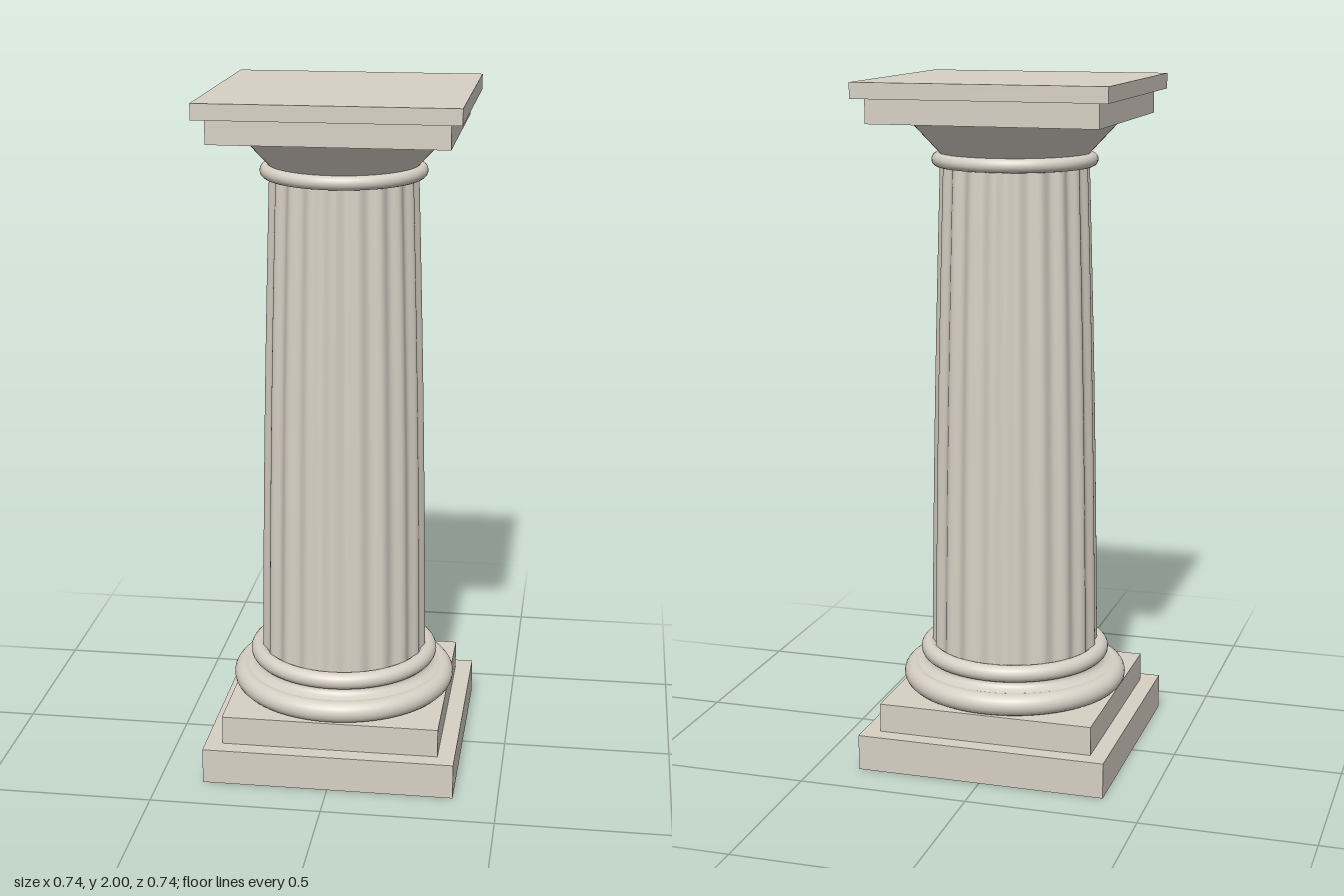
import * as THREE from 'three';

export function createModel() {
  const column = new THREE.Group();
  column.name = 'column';
  const stone = new THREE.MeshStandardMaterial({ color: 0xd6cfc4 });
  stone.name = 'pale stone';

  const add = (name, geometry, y = 0) => {
    const mesh = new THREE.Mesh(geometry, stone);
    mesh.name = name;
    mesh.position.y = y;
    column.add(mesh);
    return mesh;
  };

  // Square slab between two heights
  const slab = (name, half, y0, y1) =>
    add(name, new THREE.BoxGeometry(half * 2, y1 - y0, half * 2), (y0 + y1) / 2);

  // Round moulding given by its outer radius and height range
  const ring = (name, outer, y0, y1) => {
    const tube = (y1 - y0) / 2;
    const g = new THREE.TorusGeometry(outer - tube, tube, 20, 80);
    g.rotateX(Math.PI / 2);
    add(name, g, (y0 + y1) / 2);
  };

  // Turned piece from a list of [radius, height]
  const turned = (name, points) =>
    add(name, new THREE.LatheGeometry(points.map(([r, y]) => new THREE.Vector2(r, y)), 80));

  // Base: two square steps, two rings and a concave neck between them
  slab('lowerPlinth', 0.37, 0, 0.105);
  slab('upperPlinth', 0.32, 0.105, 0.19);
  ring('lowerBaseRing', 0.335, 0.19, 0.255);
  turned('baseNeck', [[0.302, 0.252], [0.28, 0.257], [0.269, 0.265], [0.265, 0.275], [0.267, 0.285]]);
  ring('upperBaseRing', 0.283, 0.275, 0.325);

  // Fluted shaft: taper a cylinder, then press the flutes into it
  const y0 = 0.3, y1 = 1.775, flutes = 20, depth = 0.012;
  const shaft = new THREE.CylinderGeometry(1, 1, y1 - y0, flutes * 12, 16, true);
  const pos = shaft.attributes.position;
  for (let i = 0; i < pos.count; i++) {
    const a = Math.atan2(pos.getX(i), pos.getZ(i));
    const t = pos.getY(i) / (y1 - y0) + 0.5;
    const radius = 0.25 - 0.035 * t + 0.004 * Math.sin(Math.PI * t);
    const r = radius - depth * (0.5 - 0.5 * Math.cos(a * flutes));
    pos.setX(i, Math.sin(a) * r);
    pos.setZ(i, Math.cos(a) * r);
  }
  shaft.computeVertexNormals();
  add('flutedShaft', shaft, (y0 + y1) / 2);

  // Capital: ring, flaring bell and two square slabs
  ring('neckRing', 0.24, 1.75, 1.79);
  turned('capitalBell', [[0.205, 1.775], [0.222, 1.795], [0.308, 1.887]]);
  slab('lowerAbacus', 0.332, 1.885, 1.955);
  slab('upperAbacus', 0.364, 1.955, 2);

  return column;
}
